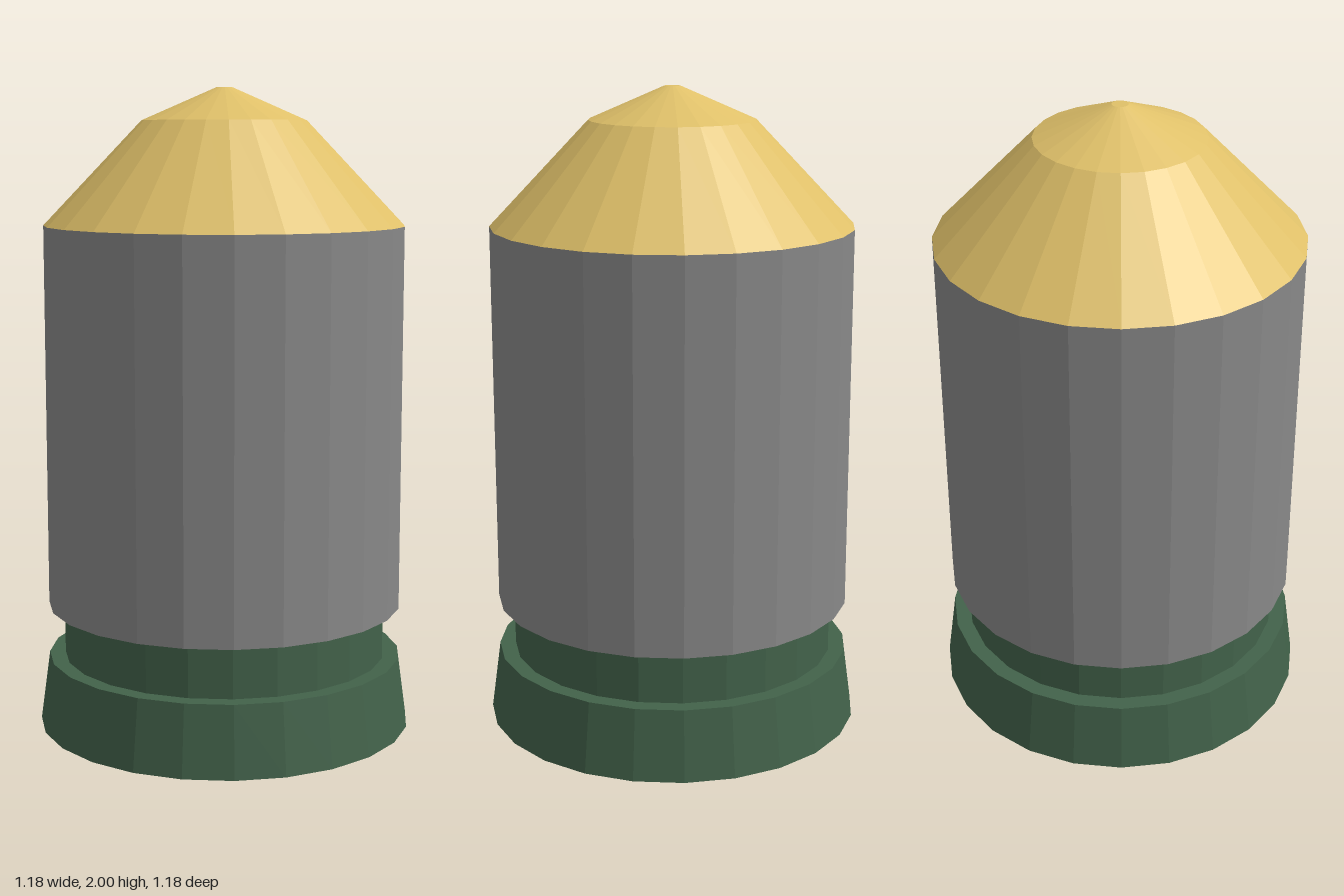
import * as THREE from 'three';

const SIDES = 24;

// Faceted solid of revolution; profile runs [radius, height] from bottom axis to top axis.
function turned(name, color, profile) {
  const points = profile.map(([r, y]) => new THREE.Vector2(r, y));
  const material = new THREE.MeshStandardMaterial({ color, flatShading: true });
  const mesh = new THREE.Mesh(new THREE.LatheGeometry(points, SIDES), material);
  mesh.name = name;
  return mesh;
}

export function createModel() {
  const group = new THREE.Group();
  group.name = 'shell';

  // Flared foot with a hollow underside, and the narrower neck above it
  group.add(turned('base', 0x42624a, [
    [0, 0.13], [0.515, 0.13], [0.535, 0], [0.59, 0],
    [0.56, 0.22], [0.51, 0.22], [0.51, 0.385],
  ]));

  // Straight casing, overhanging the neck
  group.add(turned('casing', 0x888888, [
    [0.51, 0.385], [0.56, 0.385], [0.56, 1.58],
  ]));

  // Two-stage conical nose with a tiny flat tip
  group.add(turned('nose', 0xdfc069, [
    [0.56, 1.58], [0.255, 1.9], [0.025, 2], [0, 2],
  ]));

  return group;
}
